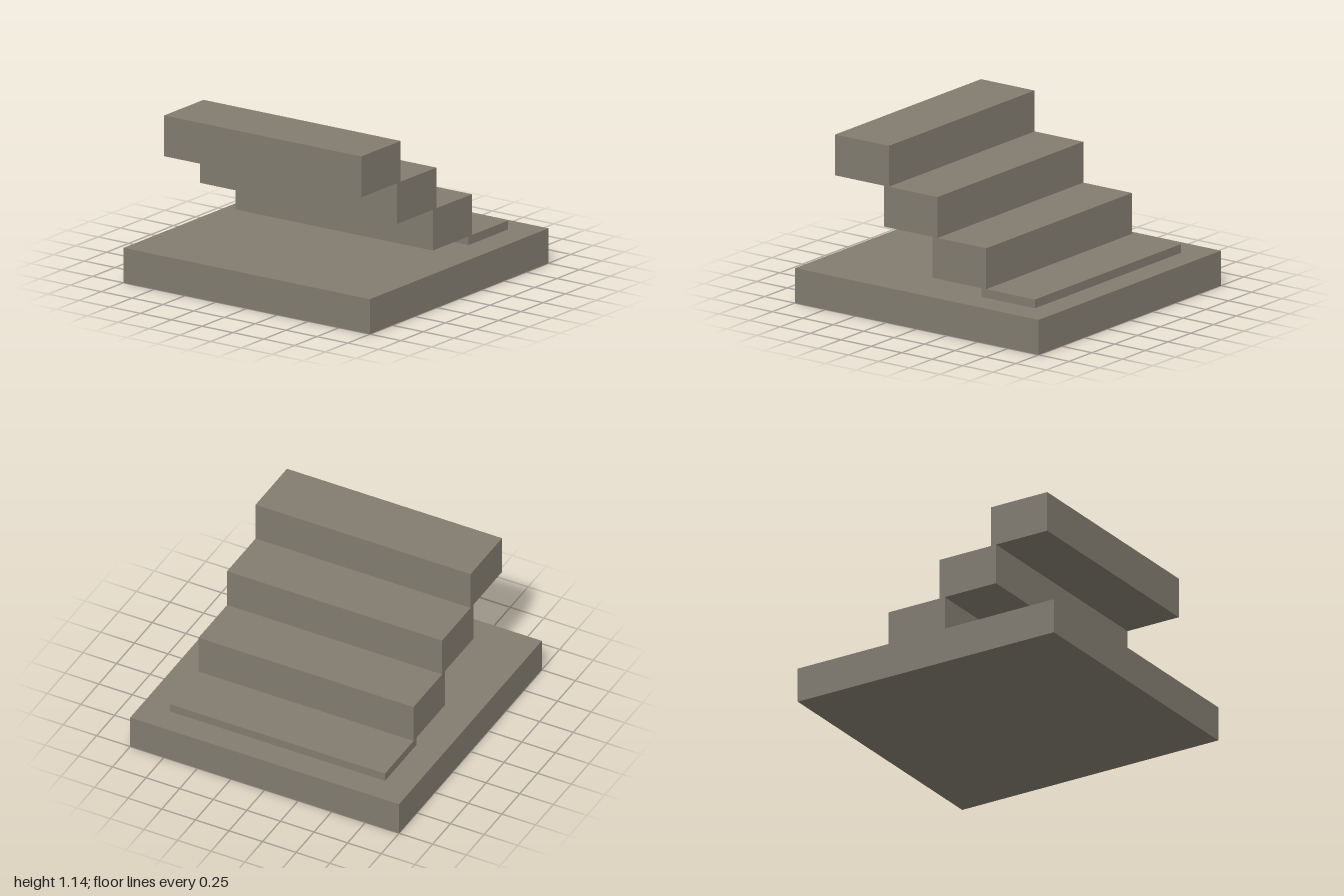
import * as THREE from 'three';

export function createModel() {
  const model = new THREE.Group();
  const stone = new THREE.MeshStandardMaterial({ color: 0x827c70 });
  stone.name = 'stone';

  // Adds a box standing on the given height
  function addBlock(name, width, height, depth, bottom, z) {
    const mesh = new THREE.Mesh(new THREE.BoxGeometry(width, height, depth), stone);
    mesh.name = name;
    mesh.position.set(0, bottom + height / 2, z);
    model.add(mesh);
  }

  // Square plinth
  addBlock('base', 2, 0.24, 2, 0, 0);

  // Overlapping steps rising from back to front; the lowest is sunk into the base
  const rise = 0.28, run = 0.4;
  for (let i = 0; i < 4; i++) {
    addBlock(`step${i + 1}`, 1.6, rise, 0.44, 0.02 + i * rise, -0.6 + i * run);
  }

  return model;
}
